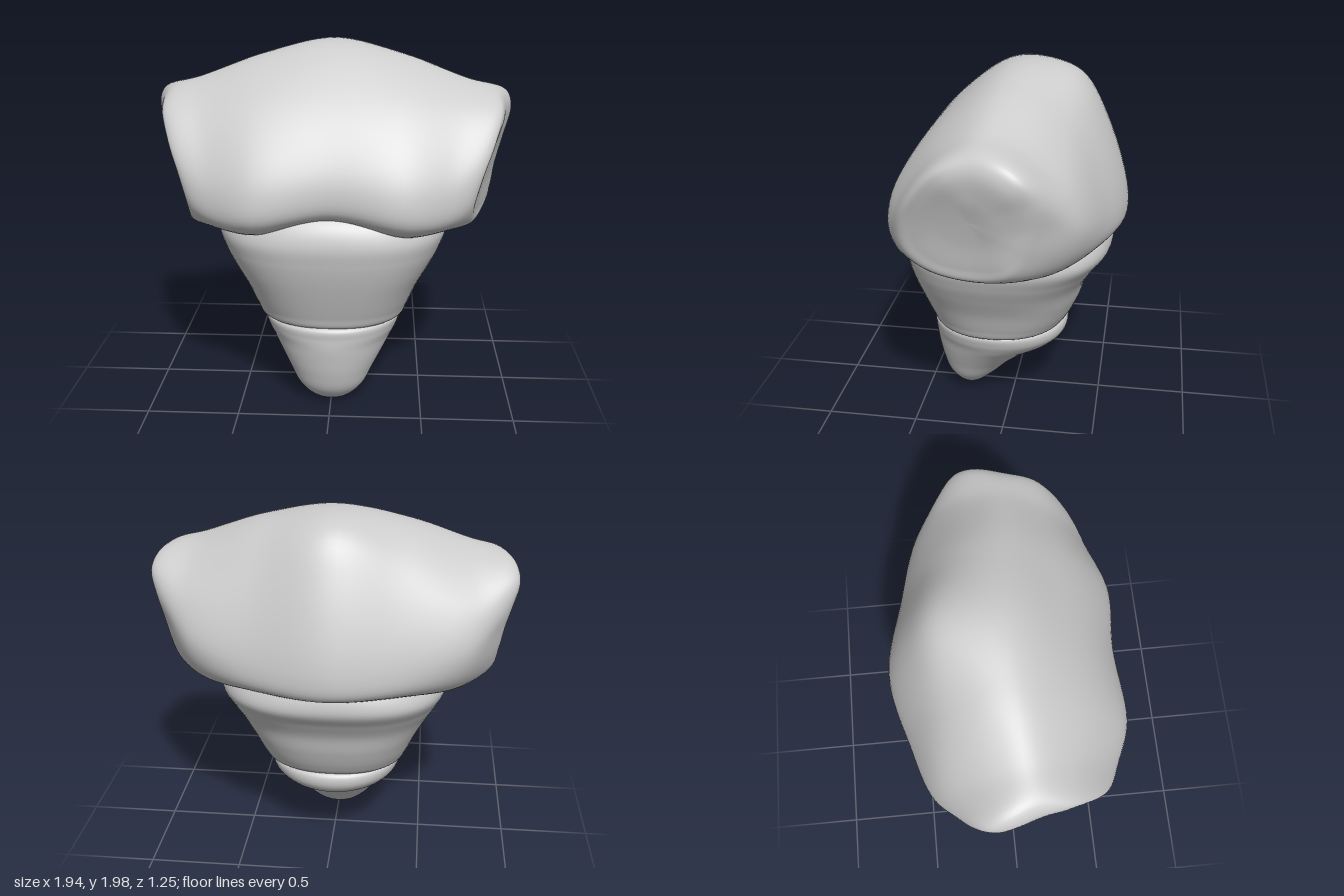
import * as THREE from 'three';
import { mergeVertices } from 'three/addons/utils/BufferGeometryUtils.js';

const material = new THREE.MeshStandardMaterial({ color: 0xcccccc });

// Smooth skin over rings of points; each ring turns right-handed about the path.
function loft(name, rings, around, along) {
  const smooth = rings.map((r) => {
    const curve = new THREE.CatmullRomCurve3(r, true);
    return Array.from({ length: around }, (_, j) => curve.getPoint(j / around));
  });
  const position = [], index = [];
  for (let j = 0; j < around; j++) {
    const column = new THREE.CatmullRomCurve3(smooth.map((r) => r[j]));
    for (let i = 0; i <= along; i++) position.push(...column.getPoint(i / along).toArray());
  }
  const at = (i, j) => (j % around) * (along + 1) + i;
  for (let j = 0; j < around; j++) {
    for (let i = 0; i < along; i++) {
      index.push(at(i, j), at(i, j + 1), at(i + 1, j));
      index.push(at(i, j + 1), at(i + 1, j + 1), at(i + 1, j));
    }
  }
  let geometry = new THREE.BufferGeometry();
  geometry.setAttribute('position', new THREE.Float32BufferAttribute(position, 3));
  geometry.setIndex(index);
  geometry = mergeVertices(geometry, 1e-5);
  geometry.computeVertexNormals();
  const mesh = new THREE.Mesh(geometry, material);
  mesh.name = name;
  return mesh;
}

// Horizontal rounded ring: height, half width, front z, back z, squareness.
function level([y, w, front, back, n = 2]) {
  const mid = (front + back) / 2, depth = (front - back) / 2;
  const bend = (v) => Math.sign(v) * Math.abs(v) ** (2 / n);
  return Array.from({ length: 24 }, (_, j) => {
    const a = (j / 24) * Math.PI * 2;
    return new THREE.Vector3(w * bend(Math.cos(a)), y, mid + depth * bend(Math.sin(a)));
  });
}

// Upright ring of [z, y] pairs, with x given by a rule.
const slice = (pairs, x) => pairs.map(([z, y]) => new THREE.Vector3(x(y, z), y, z));

function makeChest() {
  const centre = slice([[-.15, 1.975], [.05, 1.955], [.29, 1.78], [.48, 1.56], [.59, 1.32], [.575, 1.17], [.42, 1.1],
    [0, 1.06], [-.45, 1.06], [-.6, 1.11], [-.62, 1.25], [-.49, 1.68], [-.35, 1.91]], () => 0);
  const breast = slice([[-.13, 1.885], [.05, 1.895], [.3, 1.74], [.49, 1.53], [.61, 1.3], [.615, 1.13], [.5, 1.04],
    [0, 1.03], [-.4, 1.06], [-.52, 1.13], [-.535, 1.27], [-.43, 1.59], [-.3, 1.78]], () => .38);
  const flank = slice([[-.11, 1.745], [.06, 1.785], [.27, 1.68], [.44, 1.49], [.54, 1.28], [.53, 1.12], [.38, 1.04],
    [.05, 1.03], [-.27, 1.06], [-.38, 1.17], [-.42, 1.33], [-.37, 1.5], [-.26, 1.64]],
    (y, z) => .68 + .1 * (y - 1.4) - .12 * z);
  // Arm socket: a slanted face turned to the front and downwards, rolling off at the top and back
  const socketX = (y, z) => .885 + .25 * (y - 1.42) - .3 * (z - .13)
    - 3 * Math.max(0, y - 1.55) ** 2 - 1.8 * Math.max(0, -z) ** 2;
  const rim = [[-.08, 1.71], [.08, 1.73], [.25, 1.65], [.38, 1.5], [.46, 1.33], [.46, 1.18], [.35, 1.08],
    [.1, 1.06], [-.1, 1.12], [-.21, 1.24], [-.27, 1.38], [-.25, 1.52], [-.18, 1.64]];
  const shrunk = (s, dip) => slice(
    rim.map(([z, y]) => [.1 + (z - .1) * s, 1.4 + (y - 1.4) * s]), (y, z) => socketX(y, z) - dip);
  const half = [breast, flank, slice(rim, socketX), shrunk(.8, 0), shrunk(.4, .015), shrunk(0, .02)];
  const mirror = (r) => r.map((p) => new THREE.Vector3(-p.x, p.y, p.z));
  return loft('chest', [...half.map(mirror).reverse(), centre, ...half], 78, 96);
}

export function createModel() {
  const model = new THREE.Group();
  model.name = 'torso';
  model.add(makeChest());

  // Waist, tapering down from inside the chest
  model.add(loft('abdomen', [
    [1.2, .52, .46, -.46], [1.1, .61, .565, -.535, 2.3], [1.0, .63, .597, -.55, 2.5], [.9, .597, .585, -.485, 2.5],
    [.8, .545, .56, -.425, 2.5], [.68, .48, .52, -.385, 2.5], [.56, .43, .475, -.33, 2.4],
    [.5, .4, .45, -.285, 2.3], [.485, .34, .39, -.22], [.485, 0, .1, .1],
  ].map(level), 72, 72));

  // Hips, sloping forward to a rounded tip
  model.add(loft('pelvis', [
    [.51, 0, .1, .1], [.51, .32, .4, -.24], [.485, .38, .465, -.3, 2.1], [.43, .372, .467, -.305, 2.1],
    [.37, .342, .465, -.265], [.3, .298, .455, -.14], [.2, .238, .435, -.005], [.1, .182, .4, .1],
    [.03, .11, .34, .18], [.004, .05, .295, .23], [0, 0, .265, .265],
  ].map(level), 72, 80));
  return model;
}
